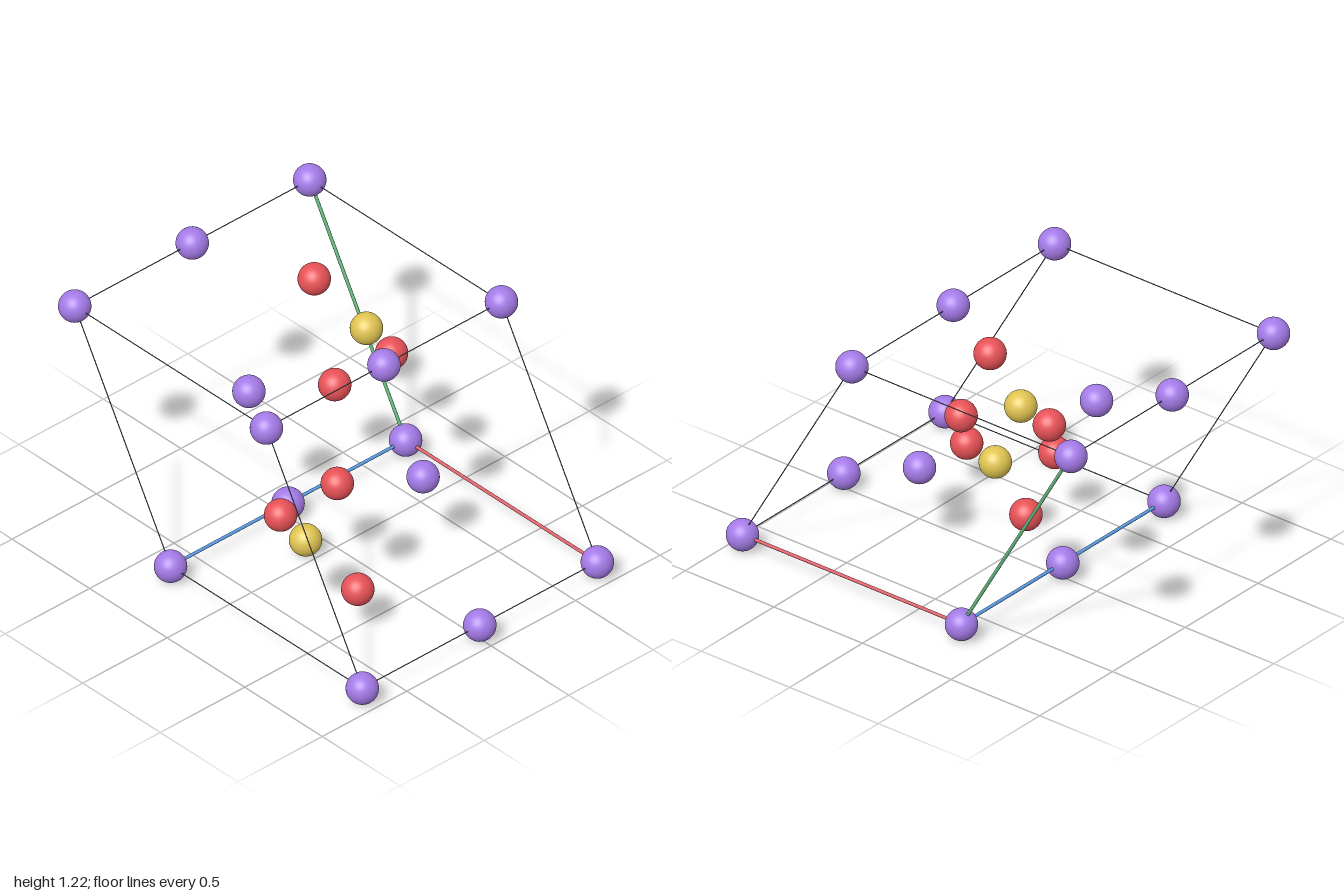
import * as THREE from 'three';

const RADIUS = 0.073;
const WIDTH = 1.236, HEIGHT = WIDTH * Math.sqrt(3) / 2, DEPTH = 1.392;

// Fractional cell coordinates to a position in the oblique unit cell
const cell = (u, v, w) => new THREE.Vector3(
  -WIDTH / 4 + WIDTH * (u - v / 2),
  RADIUS + HEIGHT * v,
  DEPTH * (w - 0.5));

const material = (name, color) => {
  const m = new THREE.MeshStandardMaterial({ color });
  m.name = name;
  return m;
};

export function createModel() {
  const model = new THREE.Group();
  model.name = 'crystalCell';

  const purple = material('purple', 0xa57be8);
  const red = material('red', 0xe85257);
  const yellow = material('yellow', 0xe0c452);
  const grey = material('grey', 0x66707c);
  const axisRed = material('axisRed', 0xe0606a);
  const axisGreen = material('axisGreen', 0x62b87a);
  const axisBlue = material('axisBlue', 0x5c9ce6);

  const ball = new THREE.SphereGeometry(RADIUS, 40, 28);
  const atom = (name, mat, u, v, w) => {
    const mesh = new THREE.Mesh(ball, mat);
    mesh.name = name;
    mesh.position.copy(cell(u, v, w));
    model.add(mesh);
  };
  // An atom and its counterpart through the centre of the cell
  const atomPair = (name, mat, u, v, w) => {
    atom(name, mat, u, v, w);
    atom(name, mat, 1 - u, 1 - v, 1 - w);
  };

  const up = new THREE.Vector3(0, 1, 0);
  const rod = (name, mat, from, to, radius) => {
    const a = cell(...from), b = cell(...to);
    const mesh = new THREE.Mesh(new THREE.CylinderGeometry(radius, radius, a.distanceTo(b), 12), mat);
    mesh.name = name;
    mesh.position.copy(a).lerp(b, 0.5);
    mesh.quaternion.setFromUnitVectors(up, b.sub(a).normalize());
    model.add(mesh);
  };

  // Purple atoms on the corners and at the middle of each depth edge
  for (const u of [0, 1]) for (const v of [0, 1]) for (const w of [0, 0.5, 1])
    atom('cornerAtom', purple, u, v, w);

  // Atoms inside the cell
  atomPair('innerPurpleAtom', purple, 1 / 3, 2 / 3, 2 / 3);
  atomPair('yellowAtom', yellow, 1 / 3, 2 / 3, 1 / 6);
  const p = 0.262, q = 0.864;
  for (const [u, v] of [[p, q], [1 - q, 1 + p - q], [q - p, 1 - p]])
    atomPair('redAtom', red, u, v, 0.25);

  // Cell edges: the three that leave the origin are thicker coloured axes
  const axes = [axisRed, axisGreen, axisBlue];
  for (let k = 0; k < 3; k++) for (const s of [0, 1]) for (const t of [0, 1]) {
    const from = [0, 0, 0], to = [0, 0, 0];
    from[(k + 1) % 3] = to[(k + 1) % 3] = s;
    from[(k + 2) % 3] = to[(k + 2) % 3] = t;
    to[k] = 1;
    const isAxis = s + t === 0;
    rod(isAxis ? 'axisRod' : 'cellEdge', isAxis ? axes[k] : grey, from, to, isAxis ? 0.0078 : 0.0025);
  }
  return model;
}
